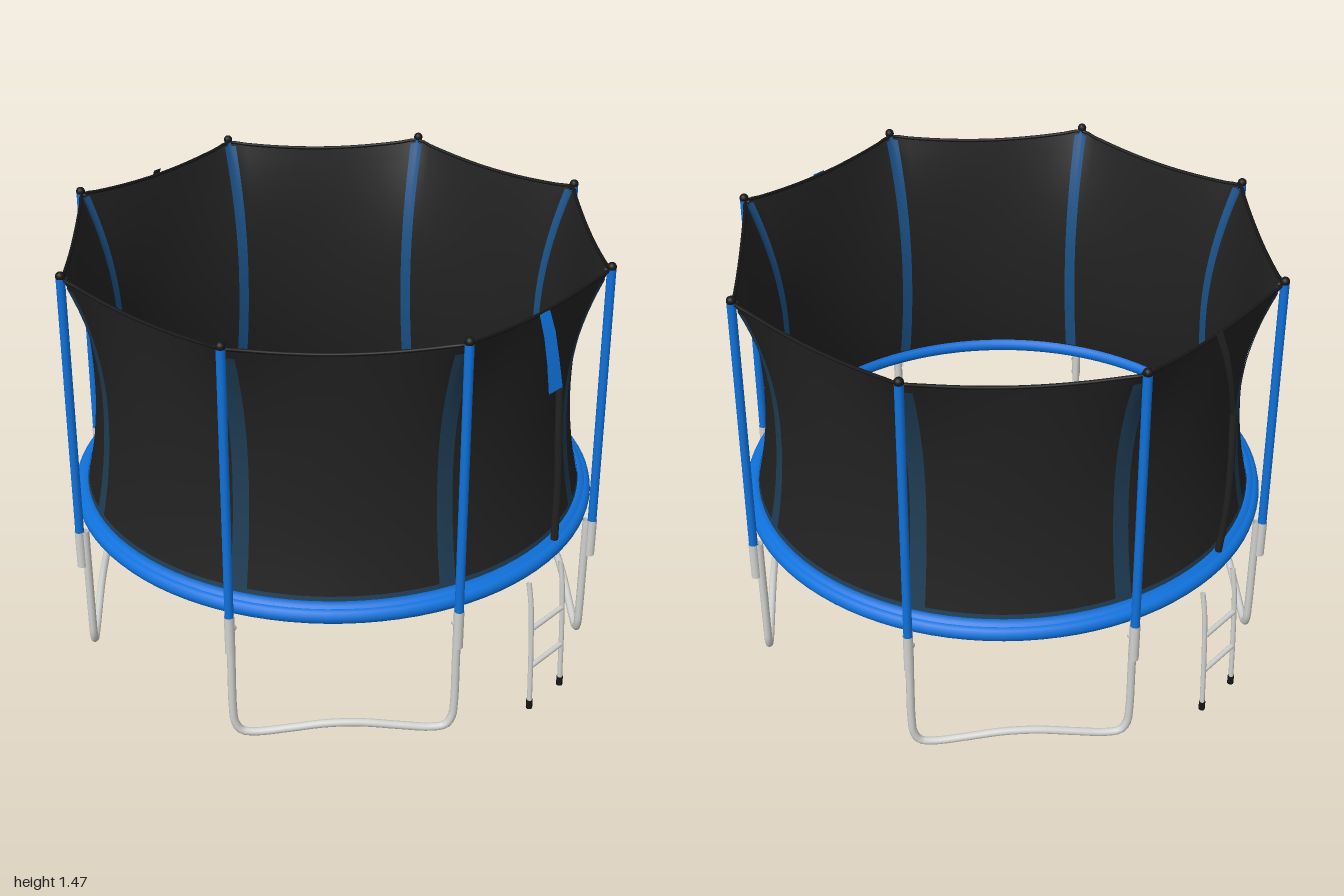
import * as THREE from 'three';

const mat = (name, color, double) => {
  const m = new THREE.MeshStandardMaterial({ color });
  m.name = name;
  if (double) m.side = THREE.DoubleSide;
  return m;
};
const V = (x, y, z) => new THREE.Vector3(x, y, z);
const STEP = Math.PI / 4;
const POLE_R = 0.956;

// Net radius and height: round and pinched at mid height, octagonal at the rim
function netPoint(a, t, offset = 0) {
  const d = a - (Math.floor(a / STEP) + 0.5) * STEP; // angle from nearest pole
  const fromMid = STEP / 2 - Math.abs(d);            // angle from panel middle
  const rim = 0.874 / Math.cos(fromMid);
  const corner = Math.pow(Math.abs(fromMid) / (STEP / 2), 2);
  const s = (t - 0.46) / (t < 0.46 ? 0.46 : 0.54);
  const r = 0.832 + ((t < 0.46 ? 0.88 : rim) - 0.832) * s * s + offset;
  const y = 0.535 + t * (0.885 + 0.027 * corner);
  return V(r * Math.sin(a), y, r * Math.cos(a));
}

// Grid surface over the net, by angle and height
function netPatch(a0, a1, t0, t1, na, nt, offset, closed) {
  const pos = [], idx = [], cols = closed ? na : na + 1;
  for (let j = 0; j <= nt; j++)
    for (let i = 0; i < cols; i++)
      pos.push(...netPoint(a0 + (a1 - a0) * i / na, t0 + (t1 - t0) * j / nt, offset).toArray());
  for (let j = 0; j < nt; j++)
    for (let i = 0; i < na; i++) {
      const p = j * cols + i, q = j * cols + (i + 1) % cols;
      idx.push(p, q, q + cols, p, q + cols, p + cols);
    }
  const g = new THREE.BufferGeometry();
  g.setAttribute('position', new THREE.Float32BufferAttribute(pos, 3));
  g.setIndex(idx);
  g.computeVertexNormals();
  return g;
}

// Ribbon across x, from rows of [y, z, xLeft, xRight]
function ribbon(rows) {
  const pos = [], idx = [];
  rows.forEach(([y, z, x0, x1], i) => {
    pos.push(x0, y, z, x1, y, z);
    if (i) idx.push(2 * i - 2, 2 * i, 2 * i - 1, 2 * i - 1, 2 * i, 2 * i + 1);
  });
  const g = new THREE.BufferGeometry();
  g.setAttribute('position', new THREE.Float32BufferAttribute(pos, 3));
  g.setIndex(idx);
  g.computeVertexNormals();
  return g;
}

const tube = (pts, r, n = 40, closed = false) =>
  new THREE.TubeGeometry(new THREE.CatmullRomCurve3(pts, closed, 'centripetal'), n, r, 10, closed);

function rod(a, b, r) {
  return new THREE.TubeGeometry(new THREE.LineCurve3(a, b), 1, r, 12);
}

export function createModel() {
  const model = new THREE.Group();
  const blue = mat('blue', 0x0f72dc, true);
  const net = mat('netBlack', 0x222222, true);
  const black = mat('rubberBlack', 0x161616);
  const metal = mat('galvanisedSteel', 0xd2d2d0, true);
  const seamIn = mat('seamBlue', 0x1b5288, true);
  const seamOut = mat('fadedSeamBlue', 0x1f3d55, true);
  const add = (parent, name, geo, m) => {
    const mesh = new THREE.Mesh(geo, m);
    mesh.name = name;
    parent.add(mesh);
    return mesh;
  };

  // Padded frame ring and the sloping pad edge up to the net
  const ring = add(model, 'frameRing', new THREE.TorusGeometry(0.902, 0.027, 14, 96), blue);
  ring.rotation.x = Math.PI / 2;
  ring.position.y = 0.505;
  add(model, 'padEdge', new THREE.LatheGeometry(
    [[0.912, 0.525], [0.9, 0.538], [0.884, 0.546], [0.876, 0.53]].map(p => new THREE.Vector2(...p)), 96), blue);

  // Safety net, rim cord and lower hem
  add(model, 'safetyNet', netPatch(0, Math.PI * 2, 0, 1, 96, 20, 0, true), net);
  const rim = [];
  for (let i = 0; i < 96; i++) rim.push(netPoint(i / 96 * Math.PI * 2, 1));
  add(model, 'netRim', tube(rim, 0.006, 192, true), black);
  add(model, 'netHem', netPatch(0, Math.PI * 2, 0.005, 0.028, 96, 2, 0.004, true), seamOut);

  for (let k = 0; k < 8; k++) {
    const a = (k + 0.5) * STEP, sx = Math.sin(a), cz = Math.cos(a);
    const at = (r, y) => V(r * sx, y, r * cz);
    const post = new THREE.Group();
    post.name = 'enclosurePost';
    model.add(post);
    // Pole with cap, strap and steel sleeve
    add(post, 'pole', rod(at(POLE_R + 0.004, 0.48), at(POLE_R - 0.004, 1.45), 0.015), blue);
    const cap = add(post, 'poleCap', new THREE.SphereGeometry(0.016, 14, 10), black);
    cap.position.copy(at(POLE_R - 0.004, 1.457));
    add(post, 'netStrap', rod(at(POLE_R, 1.444), at(0.93, 1.444), 0.008), black);
    add(post, 'sleeve', rod(at(POLE_R + 0.004, 0.36), at(POLE_R + 0.004, 0.5), 0.017), metal);
    const end = add(post, 'sleeveEnd', new THREE.CylinderGeometry(0.017, 0.017, 0.006, 12), metal);
    end.position.copy(at(POLE_R + 0.004, 0.361));
    add(post, 'sleeveBracket', rod(at(POLE_R, 0.44), at(0.93, 0.44), 0.012), metal);
    // Seam strips on both faces of the net
    add(post, 'innerSeam', netPatch(a - 0.024, a + 0.024, 0.01, 0.99, 4, 20, -0.004), seamIn);
    add(post, 'outerSeam', netPatch(a - 0.033, a + 0.033, 0.02, 0.96, 4, 20, 0.004), seamOut);
  }

  // Four bent tube legs, each joining two neighbouring posts
  for (let k = 0; k < 4; k++) {
    const a = STEP + k * Math.PI / 2;
    const half = 0.366, mid = 0.868;
    const pts = [[-1, 0.5], [-1, 0.3], [-1, 0.12], [-0.985, 0.06], [-0.93, 0.025], [-0.8, 0.016],
      [-0.5, 0.027], [-0.2, 0.041]];
    const path = [...pts, [0, 0.044], ...pts.map(([u, y]) => [-u, y]).reverse()].map(([u, y]) =>
      V(mid * Math.sin(a) + u * half * Math.cos(a), y, mid * Math.cos(a) - u * half * Math.sin(a)));
    add(model, 'bentLeg', tube(path, 0.014, 90), metal);
  }

  // Ladders at front and back
  for (const s of [1, -1]) {
    const ladder = new THREE.Group();
    ladder.name = s > 0 ? 'frontLadder' : 'backLadder';
    model.add(ladder);
    for (const x of [-0.087, 0.087]) {
      add(ladder, 'ladderRail', tube([V(x, 0.495, s * 0.955), V(x, 0.42, s * 0.968),
        V(x, 0.25, s * 0.98), V(x, 0.03, s * 0.989)], 0.009, 16), metal);
      const foot = add(ladder, 'ladderFoot', new THREE.CylinderGeometry(0.011, 0.011, 0.034, 12), black);
      foot.position.set(x, 0.017, s * 0.989);
    }
    for (const [y, z] of [[0.17, 0.983], [0.32, 0.976]])
      add(ladder, 'ladderRung', rod(V(-0.087, y, s * z), V(0.087, y, s * z), 0.009), metal);
  }

  // Front door flap and hanging zip
  add(model, 'doorFlap', ribbon([[1.425, 0.884, -0.025, 0.028], [1.36, 0.912, -0.033, 0.026],
    [1.28, 0.938, -0.045, 0.018], [1.19, 0.962, -0.06, 0.012]]), blue);
  add(model, 'frontZip', tube([V(0, 1.19, 0.96), V(-0.004, 1.05, 0.97), V(0, 0.85, 0.979),
    V(0, 0.64, 0.982)], 0.013, 24), net);

  // Back zip, thin at the top and thicker below
  add(model, 'backZipTop', ribbon([[1.435, -0.884, -0.012, 0.022], [1.36, -0.918, -0.01, 0.02],
    [1.27, -0.942, -0.008, 0.018], [1.16, -0.96, -0.008, 0.018]]), net);
  add(model, 'backZip', tube([V(0.005, 1.17, -0.959), V(0.008, 1.0, -0.969), V(0.004, 0.8, -0.965),
    V(0, 0.62, -0.946)], 0.012, 24), net);

  return model;
}
